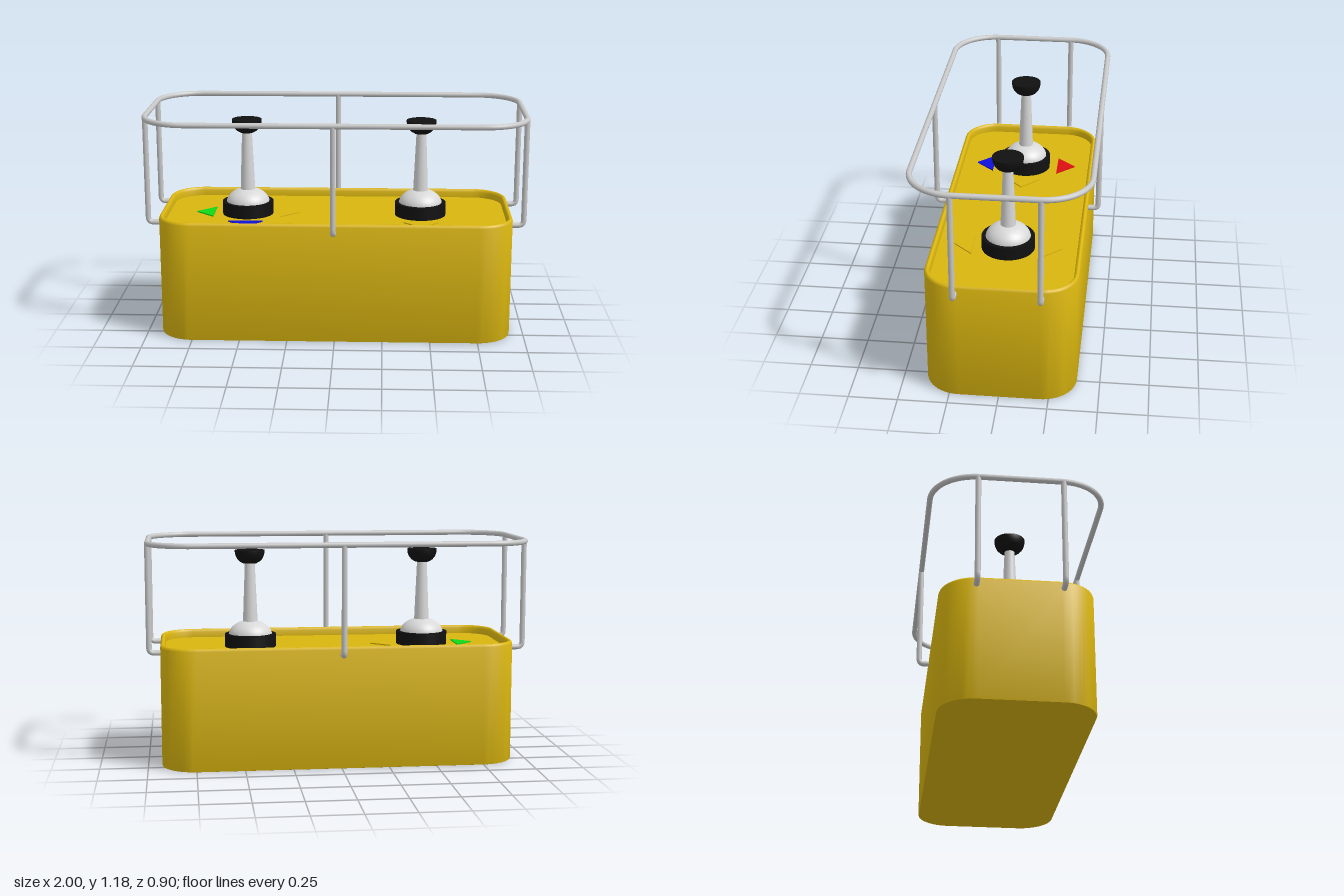
import * as THREE from 'three';
import { toCreasedNormals } from 'three/addons/utils/BufferGeometryUtils.js';

const material = (name, color) => {
  const m = new THREE.MeshStandardMaterial({ color });
  m.name = name;
  return m;
};

// Points [x, z] around a rounded rectangle
function roundedRect(hx, hz, r, inset = 0, steps = 12) {
  const points = [];
  [[1, 1], [-1, 1], [-1, -1], [1, -1]].forEach(([sx, sz], corner) => {
    for (let i = 0; i <= steps; i++) {
      const a = (corner + i / steps) * Math.PI / 2;
      points.push([sx * (hx - r) + (r - inset) * Math.cos(a), sz * (hz - r) + (r - inset) * Math.sin(a)]);
    }
  });
  return points;
}

// Open-topped tray: rounded rectangle rings closed by a centre point at each end
function trayGeometry(hx, hz, r, profile) {
  const positions = [];
  const rings = profile.map(([inset, y]) => roundedRect(hx, hz, r, inset).map(([x, z]) => [x, y, z]));
  const n = rings[0].length;
  const tri = (...corners) => corners.forEach((p) => positions.push(...p));
  const last = rings.length - 1;
  for (let i = 0; i < n; i++) {
    const k = (i + 1) % n;
    tri([0, rings[0][0][1], 0], rings[0][i], rings[0][k]);
    for (let j = 0; j < last; j++) {
      tri(rings[j][i], rings[j + 1][i], rings[j][k]);
      tri(rings[j][k], rings[j + 1][i], rings[j + 1][k]);
    }
    tri(rings[last][i], [0, rings[last][0][1], 0], rings[last][k]);
  }
  const g = new THREE.BufferGeometry();
  g.setAttribute('position', new THREE.Float32BufferAttribute(positions, 3));
  return toCreasedNormals(g, 0.9);
}

export function createModel() {
  const model = new THREE.Group();
  model.name = 'joystickControlBox';
  const yellow = material('yellow', 0xd9b50f);
  const metal = material('railMetal', 0xc8c8c8);
  const white = material('stickGrey', 0xd8d8d8);
  const black = material('black', 0x111111);
  const red = material('red', 0xdc1010);
  const green = material('green', 0x10d818);
  const blue = material('blue', 0x1010dc);

  const add = (parent, name, geometry, mat) => {
    const mesh = new THREE.Mesh(geometry, mat);
    mesh.name = name;
    parent.add(mesh);
    return mesh;
  };
  const lathe = (pts) => toCreasedNormals(
    new THREE.LatheGeometry(pts.map(([x, y]) => new THREE.Vector2(x, y)), 40), 0.7);

  // Housing with a raised rounded rim around a shallow recess
  const floorY = 0.595;
  add(model, 'housing', trayGeometry(0.928, 0.383, 0.18, [
    [0.008, 0], [0.002, 0.002], [0, 0.008], [0, 0.625], [0.004, 0.635], [0.011, 0.64],
    [0.016, 0.64], [0.022, 0.635], [0.026, 0.625], [0.026, floorY],
  ]), yellow);

  // Guard rail loop
  const tube = 0.0145, railX = 0.985, railZ = 0.436, railY = 1.166;
  const loop = new THREE.CurvePath();
  const loopPoints = roundedRect(railX, railZ, 0.23, 0, 16).map(([x, z]) => new THREE.Vector3(x, railY, z));
  loopPoints.forEach((p, i) => loop.add(new THREE.LineCurve3(p, loopPoints[(i + 1) % loopPoints.length])));
  add(model, 'guardRail', new THREE.TubeGeometry(loop, 260, tube, 12, true), metal);

  // Rail posts, bent inward at the bottom to meet the housing wall
  const post = (x, z, dx, dz, reach) => {
    const at = (inward, y) => new THREE.Vector3(x + dx * inward, y, z + dz * inward);
    const low = 0.599, bend = 0.028;
    const path = new THREE.CurvePath();
    path.add(new THREE.LineCurve3(at(0, railY), at(0, low + bend)));
    path.add(new THREE.QuadraticBezierCurve3(at(0, low + bend), at(0, low), at(bend, low)));
    path.add(new THREE.LineCurve3(at(bend, low), at(reach, low)));
    add(model, 'railPost', new THREE.TubeGeometry(path, 90, tube, 12, false), metal);
  };
  for (const s of [-1, 1]) {
    post(-0.005, s * railZ, 0, -s, 0.06);
    for (const t of [-1, 1]) post(s * railX, t * 0.212, -s, 0, 0.065);
  }

  // Joysticks
  const joystick = (x) => {
    const stick = new THREE.Group();
    stick.name = 'joystick';
    stick.position.x = x;
    model.add(stick);
    add(stick, 'collar', new THREE.CylinderGeometry(0.136, 0.136, 0.07, 40), black).position.y = 0.629;
    const dome = [];
    for (let i = 0; i <= 10; i++) {
      const a = (i / 10) * 1.3;
      dome.push([0.116 * Math.cos(a), 0.655 + 0.08 * Math.sin(a)]);
    }
    dome.push([0, 0.735]);
    add(stick, 'dome', lathe(dome), white);
    add(stick, 'shaft', new THREE.CylinderGeometry(0.026, 0.04, 0.34, 32), white).position.y = 0.88;
    add(stick, 'knob', lathe([[0, 1.04], [0.036, 1.04], [0.054, 1.05], [0.068, 1.065], [0.076, 1.083],
      [0.079, 1.1], [0.079, 1.111], [0, 1.112]]), black);
  };

  // Direction arrows: thin triangular plates on the recess floor
  const arrowShape = new THREE.Shape([
    new THREE.Vector2(-0.092, 0.18), new THREE.Vector2(0.092, 0.18), new THREE.Vector2(0, 0.277)]);
  const arrowGeometry = new THREE.ExtrudeGeometry(arrowShape, { depth: 0.007, bevelEnabled: false });
  arrowGeometry.rotateX(-Math.PI / 2);
  const arrow = (name, x, turn, mat) => {
    const mesh = add(model, name, arrowGeometry, mat);
    mesh.position.set(x, floorY - 0.001, 0);
    mesh.rotation.y = turn * Math.PI / 2;
  };

  const leftStick = -0.478, rightStick = 0.45;
  joystick(leftStick);
  joystick(rightStick);
  arrow('backArrow', leftStick, 0, red);
  arrow('sideArrow', leftStick, 1, green);
  arrow('frontArrow', leftStick, 2, blue);
  arrow('innerArrow', leftStick, 3, yellow);
  arrow('backArrow', rightStick, 0, yellow);
  arrow('frontArrow', rightStick, 2, yellow);
  return model;
}
